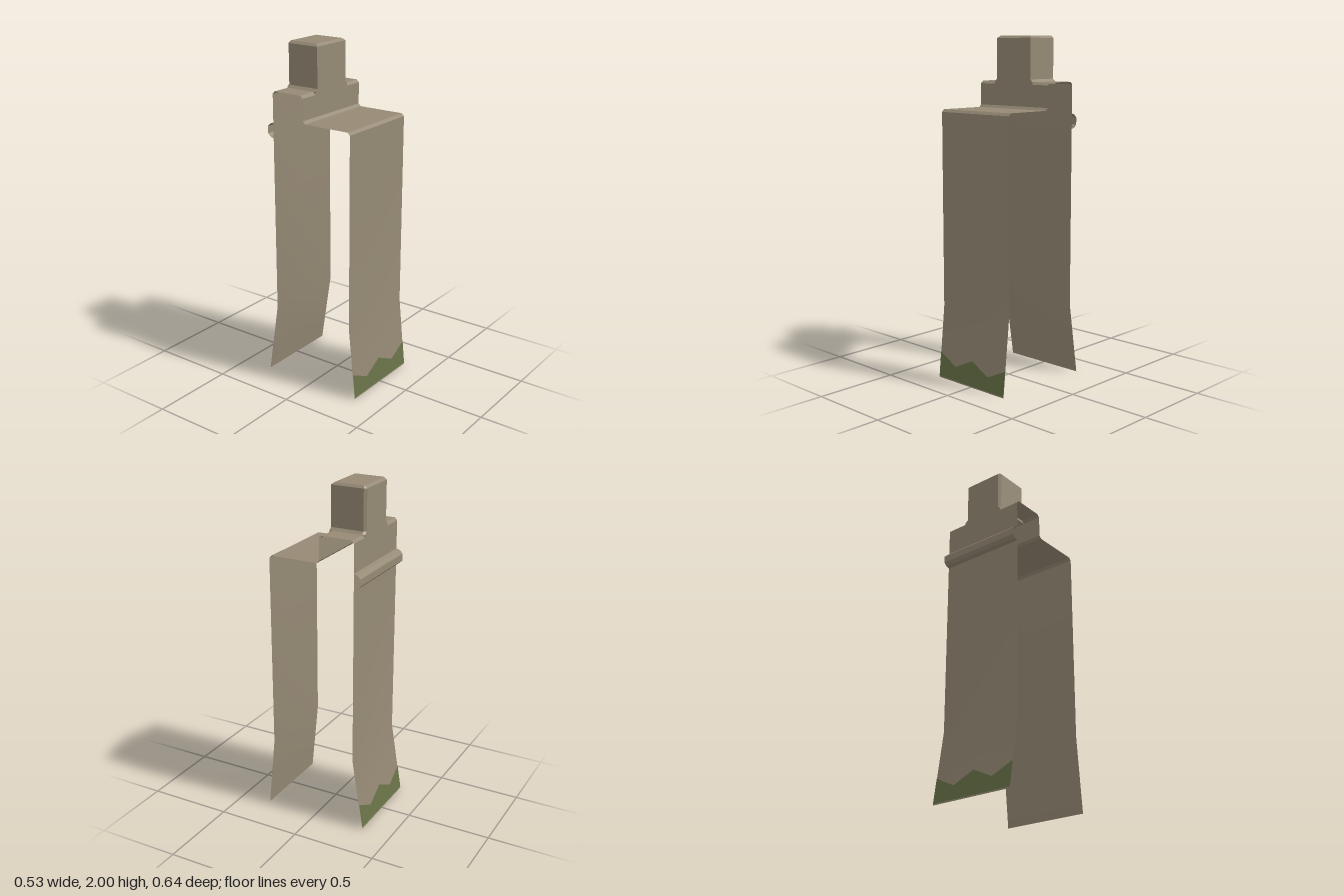
import * as THREE from 'three';
import { toCreasedNormals } from 'three/addons/utils/BufferGeometryUtils.js';

const W = 0.263;        // half width of the wall piece
const FLARE_Y = 0.43;   // height where the foot begins to flare out

// Collects quads (corners counter-clockwise from outside) into a geometry
function quadGeometry(quads) {
  const pos = [];
  for (const [a, b, c, d] of quads) pos.push(...a, ...b, ...c, ...a, ...c, ...d);
  const geo = new THREE.BufferGeometry();
  geo.setAttribute('position', new THREE.Float32BufferAttribute(pos, 3));
  return toCreasedNormals(geo, 0.4);
}

// Open section of [z, y] points swept along x
function sweep(points) {
  const quads = [];
  for (let i = 0; i < points.length - 1; i++) {
    const [z0, y0] = points[i], [z1, y1] = points[i + 1];
    quads.push([[-W, y0, z0], [W, y0, z0], [W, y1, z1], [-W, y1, z1]]);
  }
  return quadGeometry(quads);
}

// Merlon as stacked rings with chamfered back corners
function merlonGeometry() {
  const ring = (y, hw, zf, zb, c) => [
    [hw, y, zf], [hw, y, zb + c], [hw - c, y, zb],
    [-hw + c, y, zb], [-hw, y, zb + c], [-hw, y, zf],
  ];
  const rings = [
    ring(1.725, 0.147, -0.04, -0.25, 0.012),
    ring(1.74, 0.147, -0.04, -0.25, 0.012),
    ring(1.755, 0.131, -0.04, -0.25, 0.014),
    ring(1.987, 0.131, -0.04, -0.25, 0.014),
    ring(2.0, 0.117, -0.057, -0.236, 0.003),
  ];
  const quads = [];
  for (let r = 0; r < rings.length - 1; r++) {
    const A = rings[r], B = rings[r + 1];
    for (let i = 0; i < 6; i++) {
      const j = (i + 1) % 6;
      quads.push([A[i], A[j], B[j], B[i]]);
    }
  }
  const t = rings[rings.length - 1];
  quads.push([t[0], t[1], t[2], t[3]], [t[0], t[3], t[4], t[5]]);
  return quadGeometry(quads);
}

// Zigzag moss plate lying on a flared foot; side is +1 front, -1 back
function mossGeometry(side, zWall, zFoot) {
  const at = (x, y) => [x, y, side * (zFoot + (zWall - zFoot) * y / FLARE_Y + 0.002)];
  const top = (i) => (i % 2 ? 0.09 : 0.153);
  const quads = [];
  for (let i = 0; i < 4; i++) {
    const x0 = -W + i * W / 2, x1 = x0 + W / 2;
    const q = [at(x0, 0.008), at(x1, 0.008), at(x1, top(i + 1)), at(x0, top(i))];
    quads.push(side > 0 ? q : [q[1], q[0], q[3], q[2]]);
  }
  return quadGeometry(quads);
}

export function createModel() {
  const stone = new THREE.MeshStandardMaterial({ color: 0x968a75, side: THREE.DoubleSide });
  stone.name = 'stone';
  const moss = new THREE.MeshStandardMaterial({ color: 0x687347 });
  moss.name = 'moss';

  const group = new THREE.Group();
  group.name = 'battlementWall';
  const add = (name, geo, mat) => {
    const mesh = new THREE.Mesh(geo, mat);
    mesh.name = name;
    group.add(mesh);
  };

  // Walls, walkway and parapet, open at both ends
  add('frontWall', sweep([[0.318, 0], [0.275, FLARE_Y], [0.275, 1.57]]), stone);
  add('walkway', sweep([[0.275, 1.57], [0.26, 1.585], [-0.025, 1.585], [-0.04, 1.6]]), stone);
  add('parapet', sweep([[-0.04, 1.6], [-0.04, 1.725], [-0.057, 1.74],
    [-0.236, 1.74], [-0.25, 1.725]]), stone);
  add('backWall', sweep([[-0.25, 1.725], [-0.25, FLARE_Y], [-0.318, 0]]), stone);

  // Moulding along the back wall
  add('backMoulding', sweep([[-0.25, 1.56], [-0.272, 1.553], [-0.29, 1.535],
    [-0.29, 1.495], [-0.272, 1.477], [-0.25, 1.47]]), stone);

  add('merlon', merlonGeometry(), stone);

  // Moss at the feet
  add('frontMoss', mossGeometry(1, 0.275, 0.318), moss);
  add('backMoss', mossGeometry(-1, 0.25, 0.318), moss);
  return group;
}
